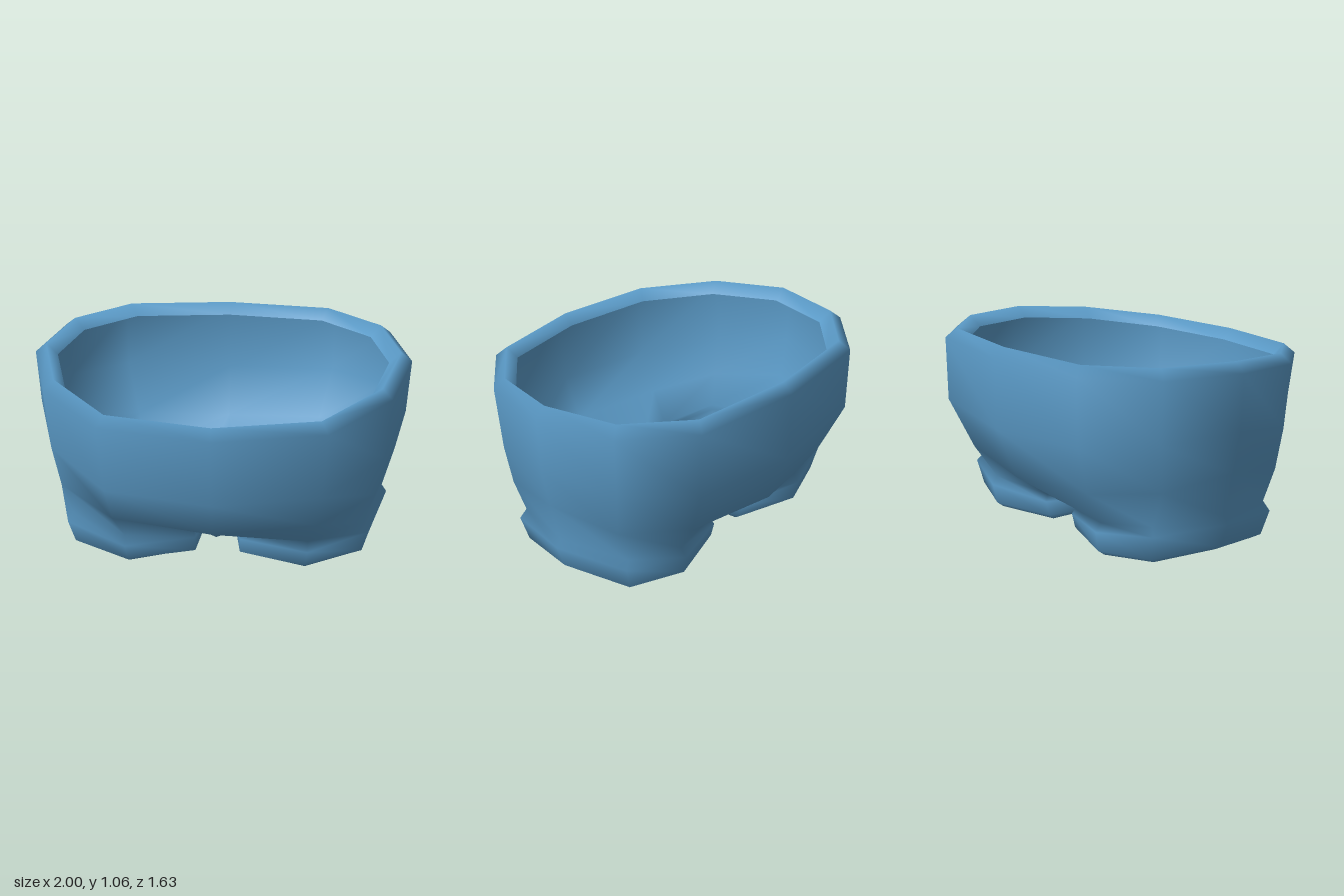
import * as THREE from 'three';

// Columns run from front centre around the left side (+x) to back centre.
const RIM_XZ = [[0, 0.81], [0.56, 0.71], [0.88, 0.37], [1, -0.06], [0.905, -0.47], [0.6, -0.742], [0, -0.81]];
const RIM_Y = [0.975, 0.985, 1.025, 1.058, 1.06, 1.06, 1.06];

// Rounded waist edge: scaled copies of the rim outline
const rimRing = (sx, sz, drop) => RIM_XZ.map(([x, z], i) => [x * sx, RIM_Y[i] - drop, z * sz]);
const rimInner = rimRing(0.88, 0.875, 0.06);
const rimCrest = rimRing(0.94, 0.935, 0);
const rimOuter = rimRing(1, 1.005, 0.05);

// Half rings of the hips
const hip = [[0, 0.56, 0.775], [0.54, 0.57, 0.67], [0.86, 0.64, 0.35], [0.985, 0.72, -0.06],
  [0.89, 0.7, -0.47], [0.6, 0.67, -0.74], [0, 0.64, -0.81]];
const seat = [[0, 0.34, 0.67], [0.52, 0.35, 0.56], [0.82, 0.42, 0.34], [0.94, 0.5, -0.06],
  [0.85, 0.45, -0.43], [0.53, 0.4, -0.63], [0, 0.37, -0.7]];
const crotch = [[0, 0.175, 0.41], [0, 0.17, -0.07], [0, 0.185, -0.43]];

// Full rings of one leg: inner side, front, outer side, back
const legTop = [[0.06, 0.17, -0.07], [0.13, 0.172, 0.31], [0.48, 0.185, 0.44], [0.77, 0.24, 0.31],
  [0.88, 0.265, -0.06], [0.78, 0.26, -0.43], [0.48, 0.22, -0.52], [0.13, 0.185, -0.42]];
const cuffWide = [[0.052, 0.13, -0.07], [0.12, 0.12, 0.33], [0.48, 0.135, 0.47], [0.8, 0.19, 0.33],
  [0.908, 0.23, -0.06], [0.81, 0.22, -0.45], [0.48, 0.175, -0.55], [0.12, 0.15, -0.44]];
const cuffLow = [[0.055, 0.085, -0.07], [0.12, 0.03, 0.31], [0.47, 0.03, 0.42], [0.77, 0.06, 0.3],
  [0.86, 0.1, -0.06], [0.77, 0.09, -0.43], [0.47, 0.07, -0.53], [0.12, 0.07, -0.42]];
const soleRing = [[0.08, 0.06, -0.07], [0.14, 0.01, 0.27], [0.47, 0, 0.385], [0.72, 0.03, 0.28],
  [0.82, 0.075, -0.06], [0.74, 0.06, -0.39], [0.47, 0.04, -0.49], [0.14, 0.037, -0.38]];

// Collects mirrored faces over shared points, so normals stay smooth between parts
function createSurface() {
  const positions = [], lookup = new Map(), parts = {};
  const vertex = (p, side) => {
    const q = [p[0] * side, p[1], p[2]];
    const key = q.map((v) => Math.round(v * 10000)).join();
    if (!lookup.has(key)) {
      lookup.set(key, positions.length / 3);
      positions.push(...q);
    }
    return lookup.get(key);
  };
  const face = (part, ...corners) => {
    const list = (parts[part] ??= []);
    for (const side of [1, -1]) {
      const ids = corners.map((p) => vertex(p, side));
      if (side < 0) ids.reverse();
      for (let i = 1; i < ids.length - 1; i++) list.push(ids[0], ids[i], ids[i + 1]);
    }
  };
  // Quads between an upper and a lower ring
  const band = (part, upper, lower, closed = false) => {
    const n = upper.length;
    for (let i = 0; i < (closed ? n : n - 1); i++) {
      const j = (i + 1) % n;
      face(part, upper[i], lower[i], lower[j], upper[j]);
    }
  };
  const meshes = (material) => {
    const whole = new THREE.BufferGeometry();
    whole.setAttribute('position', new THREE.Float32BufferAttribute(positions, 3));
    whole.setIndex(Object.values(parts).flat());
    whole.computeVertexNormals();
    return Object.entries(parts).map(([name, index]) => {
      const geometry = whole.clone();
      geometry.setIndex(index);
      const mesh = new THREE.Mesh(geometry, material);
      mesh.name = name;
      return mesh;
    });
  };
  return { face, band, meshes };
}

export function createModel() {
  const model = new THREE.Group();
  model.name = 'shorts';
  const blue = new THREE.MeshStandardMaterial({ color: 0x5b9bc8, side: THREE.DoubleSide });
  blue.name = 'denim blue';

  const cloth = createSurface();

  // Waistband
  cloth.band('waistband', rimInner, rimCrest);
  cloth.band('waistband', rimCrest, rimOuter);

  // Hips narrowing into the two legs
  cloth.band('hips', rimOuter, hip);
  cloth.band('hips', hip, seat);
  cloth.band('hips', seat.slice(1, 6), legTop.slice(2, 7));
  cloth.face('hips', seat[0], legTop[1], legTop[2], seat[1]);
  cloth.face('hips', seat[5], legTop[6], legTop[7], seat[6]);

  // Crotch strip between the legs
  cloth.face('crotch', seat[0], crotch[0], legTop[1]);
  cloth.face('crotch', crotch[0], crotch[1], legTop[0], legTop[1]);
  cloth.face('crotch', crotch[1], crotch[2], legTop[7], legTop[0]);
  cloth.face('crotch', crotch[2], seat[6], legTop[7]);

  // Rolled leg cuffs
  cloth.band('legCuffs', legTop, cuffWide, true);
  cloth.band('legCuffs', cuffWide, cuffLow, true);
  cloth.band('legCuffs', cuffLow, soleRing, true);
  model.add(...cloth.meshes(blue));

  // Closed leg ends, with a crisp edge against the cuffs
  const ends = createSurface();
  const centre = [0.46, 0.05, -0.06];
  soleRing.forEach((p, i) => ends.face('legEnds', centre, soleRing[(i + 1) % 8], p));
  model.add(...ends.meshes(blue));

  return model;
}
